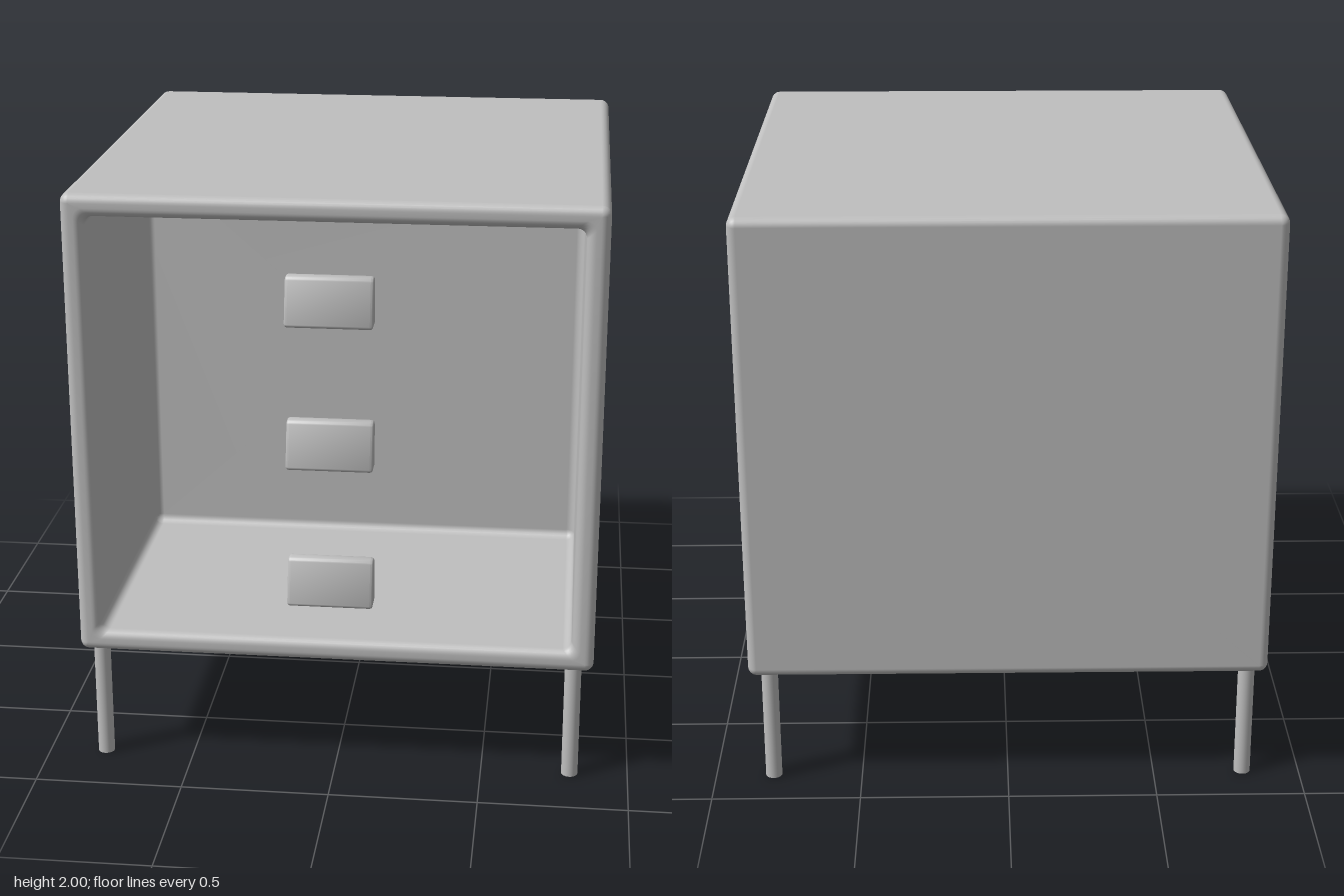
import * as THREE from 'three';
import { toCreasedNormals } from 'three/addons/utils/BufferGeometryUtils.js';

const HALF_W = 0.87, HALF_H = 0.795, CENTRE_Y = 1.205;
const BACK = -0.91, FRONT = 0.83, RECESS = -0.155;
const WALL = 0.075, R = 0.03, ARC = 6;

// Rounded rectangle, counter-clockwise seen from the front
function ring(inset, radius, z) {
  const points = [];
  const w = HALF_W - inset - radius, h = HALF_H - inset - radius;
  [[1, 1], [-1, 1], [-1, -1], [1, -1]].forEach(([sx, sy], corner) => {
    for (let i = 0; i <= ARC; i++) {
      const a = (corner + i / ARC) * Math.PI / 2;
      points.push([sx * w + radius * Math.cos(a), CENTRE_Y + sy * h + radius * Math.sin(a), z]);
    }
  });
  return points;
}

// Hollow shell: up the outside, over the rounded rim and into the recess
function shellGeometry() {
  const rings = [];
  const fillet = (inset, z, from, to, cornerRadius) => {
    for (let i = 0; i <= ARC; i++) {
      const a = from + (to - from) * i / ARC;
      const d = inset + R * Math.cos(a);
      rings.push(ring(d, Math.max(cornerRadius(d), 0.001), z + R * Math.sin(a)));
    }
  };
  const outer = d => R - d;
  const inner = d => R - (d - WALL);
  const PI = Math.PI;
  fillet(R, BACK + R, 1.5 * PI, PI, outer);
  fillet(R, FRONT - R, PI, PI / 2, outer);
  fillet(WALL - R, FRONT - R, PI / 2, 0, () => R);
  fillet(WALL + R, RECESS + R, PI, 1.5 * PI, inner);

  const n = rings[0].length, last = (rings.length - 1) * n;
  const position = rings.flat(2), index = [];
  for (let k = 0; k < rings.length - 1; k++) {
    for (let j = 0; j < n; j++) {
      const a = k * n + j, b = k * n + (j + 1) % n;
      index.push(a, b, b + n, a, b + n, a + n);
    }
  }
  // Back panel and recess panel
  const backCentre = position.length / 3;
  position.push(0, CENTRE_Y, BACK, 0, CENTRE_Y, RECESS);
  for (let j = 0; j < n; j++) {
    const next = (j + 1) % n;
    index.push(backCentre, next, j, backCentre + 1, last + j, last + next);
  }
  const geometry = new THREE.BufferGeometry();
  geometry.setAttribute('position', new THREE.Float32BufferAttribute(position, 3));
  geometry.setIndex(index);
  geometry.computeVertexNormals();
  return geometry;
}

// Sloping pull with softened edges; profile is drawn as (z, y)
function handleGeometry() {
  const bevel = 0.01, width = 0.283;
  const corners = [[0.84, 0.01], [0.903, 0.01], [0.867, 0.15], [0.84, 0.15]]
    .map(([z, y]) => new THREE.Vector2(z, y));
  const shape = new THREE.Shape();
  corners.forEach((p, i) => {
    const before = p.clone().lerp(corners[(i + 3) % 4], 0.006 / p.distanceTo(corners[(i + 3) % 4]));
    const after = p.clone().lerp(corners[(i + 1) % 4], 0.006 / p.distanceTo(corners[(i + 1) % 4]));
    if (i === 0) shape.moveTo(before.x, before.y);
    else shape.lineTo(before.x, before.y);
    shape.quadraticCurveTo(p.x, p.y, after.x, after.y);
  });
  shape.closePath();
  const geometry = new THREE.ExtrudeGeometry(shape, {
    depth: width - 2 * bevel, bevelEnabled: true, bevelSize: bevel,
    bevelThickness: bevel, bevelSegments: 3, curveSegments: 4,
  });
  geometry.translate(0, 0, bevel - width / 2);
  geometry.rotateY(-Math.PI / 2);
  return toCreasedNormals(geometry, 0.7);
}

export function createModel() {
  const model = new THREE.Group();
  model.name = 'bedsideCabinet';
  const grey = new THREE.MeshStandardMaterial({ color: 0xbfbfbf });
  grey.name = 'grey';

  const add = (name, geometry, x = 0, y = 0, z = 0) => {
    const mesh = new THREE.Mesh(geometry, grey);
    mesh.name = name;
    mesh.position.set(x, y, z);
    model.add(mesh);
  };

  add('cabinetShell', shellGeometry());

  // Three pulls; rotating the extrusion maps profile x to +z
  const handle = handleGeometry();
  ['lowerHandle', 'middleHandle', 'upperHandle'].forEach((name, i) => {
    add(name, handle, -0.003, 0.645 + i * 0.48, 0);
  });

  // Four slim round legs
  const leg = new THREE.CylinderGeometry(0.028, 0.028, 0.42, 24);
  for (const [side, x] of [['Left', 0.803], ['Right', -0.806]]) {
    add('front' + side + 'Leg', leg, x, 0.21, 0.767);
    add('back' + side + 'Leg', leg, x, 0.21, -0.842);
  }
  return model;
}
